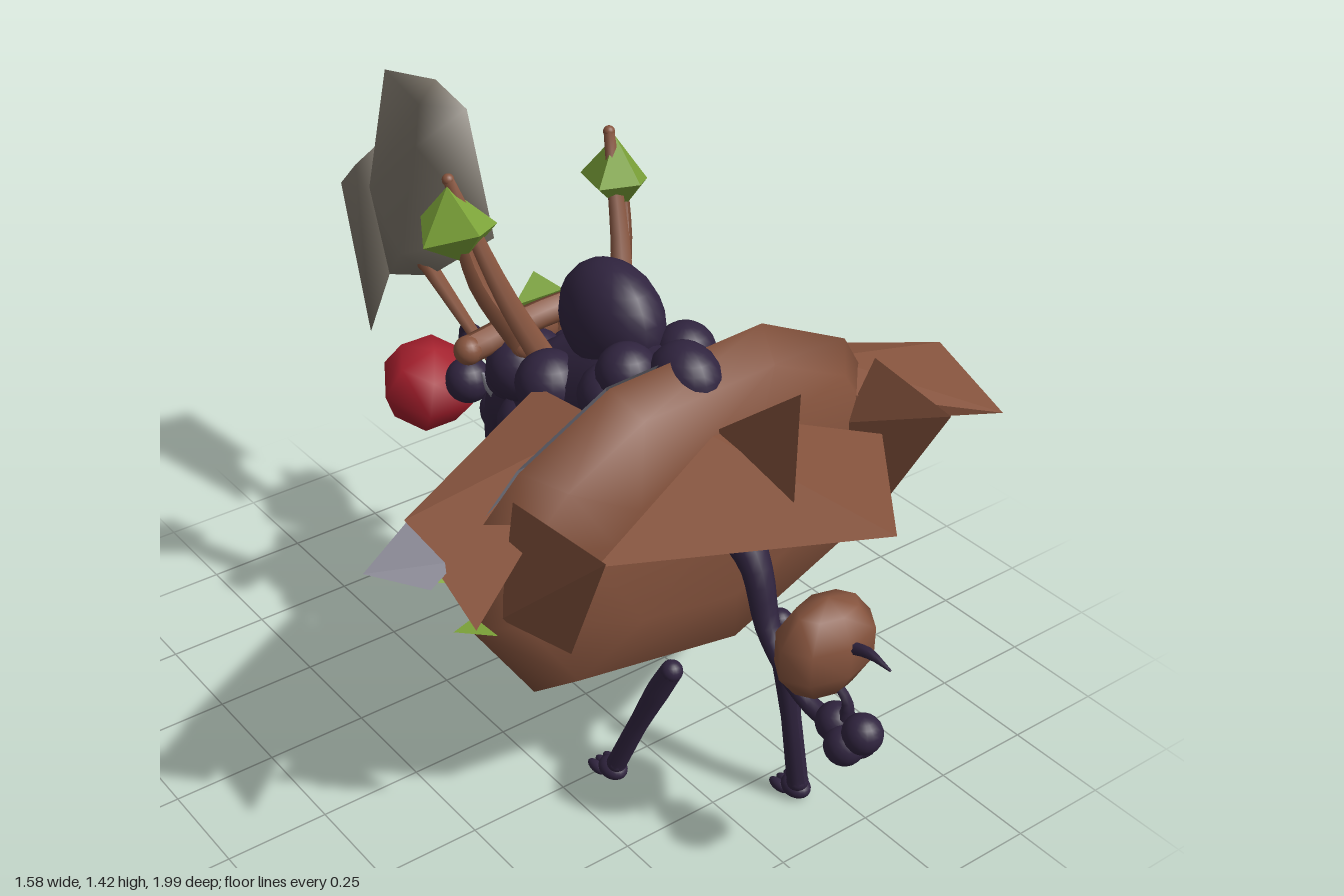
import * as THREE from 'three';
import { ConvexGeometry } from 'three/addons/geometries/ConvexGeometry.js';
import { mergeVertices } from 'three/addons/utils/BufferGeometryUtils.js';

const mat = (name, color, flat = false) => {
  const m = new THREE.MeshStandardMaterial({ color, side: THREE.DoubleSide, flatShading: flat });
  m.name = name;
  return m;
};
const V = (p) => new THREE.Vector3(p[0], p[1], p[2]);

export function createModel() {
  const model = new THREE.Group();
  const hide = mat('dark hide', 0x30243f);
  const bark = mat('bark brown', 0x85533d);
  const leaf = mat('leaf green', 0x7ba238, true);
  const berry = mat('berry red', 0xa51e2c);
  const stone = mat('crest grey', 0x7c756a);
  const pale = mat('pale grey', 0x84838f);

  const add = (name, geo, m) => {
    const mesh = new THREE.Mesh(geo, m);
    mesh.name = name;
    model.add(mesh);
    return mesh;
  };
  const ball = (name, x, y, z, rx, ry = rx, rz = rx, m = hide) => {
    const b = add(name, new THREE.SphereGeometry(1, 18, 12), m);
    b.position.set(x, y, z);
    b.scale.set(rx, ry, rz);
    return b;
  };
  const hull = (name, pts, m) => add(name, new ConvexGeometry(pts.map(V)), m);
  const smoothHull = (name, pts, m) => {
    const g = new ConvexGeometry(pts.map(V));
    g.deleteAttribute('normal');
    const merged = mergeVertices(g);
    merged.computeVertexNormals();
    return add(name, merged, m);
  };
  const plate = (name, pts, m) => {
    const g = new THREE.BufferGeometry().setFromPoints(pts.map(V));
    g.computeVertexNormals();
    return add(name, g, m);
  };

  // Tapered tube through points of [x, y, z, radius]
  const limb = (name, pts, m = hide, sides = 10, steps = 20) => {
    const curve = new THREE.CatmullRomCurve3(pts.map(V));
    const geo = new THREE.TubeGeometry(curve, steps, 1, sides);
    const pos = geo.attributes.position, row = sides + 1, v = new THREE.Vector3();
    for (let i = 0; i <= steps; i++) {
      const u = i / steps, c = curve.getPointAt(u);
      const f = curve.getUtoTmapping(u) * (pts.length - 1);
      const k = Math.min(Math.floor(f), pts.length - 2);
      const r = THREE.MathUtils.lerp(pts[k][3], pts[k + 1][3], f - k);
      for (let j = 0; j < row; j++) {
        v.fromBufferAttribute(pos, i * row + j).sub(c).multiplyScalar(r).add(c);
        pos.setXYZ(i * row + j, v.x, v.y, v.z);
      }
    }
    geo.computeVertexNormals();
    for (const p of [pts[0], pts[pts.length - 1]]) ball(name + 'End', p[0], p[1], p[2], p[3], p[3], p[3], m);
    return add(name, geo, m);
  };

  // Lens-shaped bark shell: scaled copies of one outline, front to back
  const outline = [[-0.19, 1.11], [0.22, 1.13], [0.47, 1.01], [0.63, 0.75], [0.5, 0.48],
    [0.13, 0.32], [-0.39, 0.41], [-0.55, 0.65], [-0.55, 0.86], [-0.42, 0.99]];
  const rings = [[0, 0.47], [0.5, 0.46], [0.85, 0.42], [1, 0.34], [0.8, 0.28], [0.47, 0.21], [0.2, 0.07], [0, 0.04]];
  const onShell = ([x, y], t, z) => [0.03 + (x - 0.03) * t, 0.76 + (y - 0.76) * t, z];
  const pos = [], idx = [], n = outline.length;
  rings.forEach(([t, z], r) => outline.forEach((p, i) => {
    pos.push(...onShell(p, t, z));
    if (r === 0) return;
    const j = (i + 1) % n, a = (r - 1) * n, b = r * n;
    if (r > 1) idx.push(a + i, a + j, b + j);
    if (r < rings.length - 1) idx.push(a + i, b + j, b + i);
  }));
  const shell = new THREE.BufferGeometry();
  shell.setAttribute('position', new THREE.Float32BufferAttribute(pos, 3));
  shell.setIndex(idx);
  shell.computeVertexNormals();
  add('barkShell', shell, bark);

  // Pale worn streak along the upper left back edge of the shell
  const streak = [[-0.05, 1.117], [-0.19, 1.11], [-0.42, 0.99], [-0.54, 0.87]];
  for (let i = 0; i < 3; i++) {
    const [a, b] = [streak[i], streak[i + 1]];
    const q = [onShell(a, 0.985, 0.325), onShell(b, 0.985, 0.325), onShell(b, 0.89, 0.296), onShell(a, 0.89, 0.296)];
    plate('shellStreak', [q[0], q[1], q[2], q[0], q[2], q[3]], pale);
  }
  ball('shellWart', -0.2, 0.63, 0.16, 0.025, 0.045, 0.035);

  // Bark spikes around the shell
  hull('rightWing', [[0.17, 0.95, 0.02], [0.35, 0.9, 0.08], [0.79, 0.89, 0.33], [0.74, 0.84, 0.59],
    [0.45, 0.84, 0.42], [0.45, 0.95, 0.3], [0.15, 0.98, 0.26]], bark);
  hull('leftWing', [[-0.15, 0.95, 0.02], [-0.35, 0.92, 0.12], [-0.63, 0.9, 0.23], [-0.67, 0.83, 0.55],
    [-0.45, 0.84, 0.38], [-0.6, 0.87, 0.4], [-0.15, 0.98, 0.26]], bark);
  hull('leftWingTip', [[-0.6, 0.9, 0.22], [-0.79, 0.89, 0.33], [-0.69, 0.86, 0.42], [-0.6, 0.87, 0.38]], pale);
  hull('frontPlate', [[-0.4, 0.885, 0.58], [0.41, 0.88, 0.54], [0.13, 0.91, 0.88],
    [0.0, 0.98, 0.45], [0.15, 0.965, 0.45], [0.05, 0.87, 0.44]], bark);
  plate('centreFin', [[0.02, 1.19, 0.69], [0.02, 0.9, 0.69], [0.02, 0.95, 0.4]], bark);
  for (const s of [-1, 1]) {
    hull('sideFin', [[s * 0.46, 0.98, 0.69], [s * 0.42, 0.64, 0.52], [s * 0.5, 0.68, 0.38],
      [s * 0.49, 0.99, 0.42], [s * 0.41, 0.85, 0.42]], bark);
    plate('shellLeaf', [[s * 0.53, 0.67, 0.18], [s * 0.43, 0.64, 0.2], [s * 0.47, 0.7, 0.1]], leaf);
  }
  plate('rightRimLeaf', [[0.57, 0.72, 0.4], [0.56, 0.66, 0.39], [0.53, 0.7, 0.43]], leaf);
  plate('leftRimLeaf', [[-0.54, 0.68, 0.34], [-0.61, 0.69, 0.37], [-0.54, 0.685, 0.43]], leaf);

  // Body, neck and snout
  limb('body', [[0.02, 1.02, 0.34, 0.08], [0.02, 0.95, 0.17, 0.13], [0.02, 0.84, -0.03, 0.16],
    [0.02, 0.77, -0.18, 0.12], [0.02, 0.68, -0.32, 0.075], [0.02, 0.53, -0.4, 0.03]], hide, 16, 32);
  ball('hump', 0.02, 1.09, 0.07, 0.1, 0.135, 0.15);
  ball('rearHump', 0.02, 1.06, 0.33, 0.075, 0.08, 0.09);
  ball('rump', 0.02, 0.98, 0.38, 0.045);
  ball('brow', 0.02, 0.85, -0.24, 0.08, 0.07, 0.07);
  ball('snout', 0.02, 0.64, -0.375, 0.055, 0.06, 0.055);
  for (const s of [-1, 1]) {
    for (const [x, y, z, r] of [[0.1, 0.99, 0.2, 0.075], [0.12, 0.93, 0.0, 0.08], [0.11, 0.91, -0.13, 0.08],
      [0.09, 0.85, -0.2, 0.06], [0.11, 0.83, 0.05, 0.08], [0.08, 1.05, 0.23, 0.07], [0.09, 0.76, -0.12, 0.08]]) {
      ball('flankKnob', 0.02 + s * x, y, z, r);
    }
    // Face: ringed eyes and tusks
    const ex = 0.02 + s * 0.055;
    ball('eye', ex, 0.9, -0.265, 0.036, 0.045, 0.025, bark);
    const ring = add('eyeRing', new THREE.TorusGeometry(0.042, 0.01, 6, 14), bark);
    ring.position.set(ex, 0.9, -0.275);
    ring.rotation.y = Math.PI - s * 0.5;
    limb('tusk', [[ex, 0.79, -0.27, 0.026], [ex + s * 0.015, 0.755, -0.3, 0.022], [ex + s * 0.02, 0.78, -0.34, 0.005]], pale, 6, 6);
    // Forked antlers with leaf tufts
    const ax = 0.03;
    limb('antler', [[ax + s * 0.1, 0.94, -0.04, 0.035], [ax + s * 0.16, 1.1, -0.12, 0.027], [ax + s * 0.22, 1.36, -0.25, 0.014]], bark, 6, 8);
    limb('antlerProng', [[ax + s * 0.13, 0.98, -0.1, 0.03], [ax + s * 0.2, 1.13, -0.17, 0.024], [ax + s * 0.23, 1.3, -0.22, 0.012]], bark, 6, 8);
    hull('antlerLeaf', [[ax + s * 0.23, 1.35, -0.24], [ax + s * 0.14, 1.26, -0.18], [ax + s * 0.31, 1.23, -0.22],
      [ax + s * 0.22, 1.18, -0.2], [ax + s * 0.22, 1.27, -0.13], [ax + s * 0.19, 1.24, -0.32], [ax + s * 0.27, 1.27, -0.29]], leaf);
  }
  limb('headLog', [[-0.21, 0.98, -0.16, 0.034], [0.02, 0.99, -0.19, 0.034], [0.24, 1.0, -0.17, 0.034]], bark, 7, 10);
  hull('foreheadLeaf', [[0.02, 1.08, -0.23], [0.09, 1.02, -0.21], [-0.05, 1.02, -0.21], [0.05, 0.96, -0.245],
    [-0.01, 0.96, -0.245], [0.02, 1.01, -0.26]], leaf);

  // Legs
  limb('hindLeg', [[0.125, 0.505, 0.555, 0.03], [0.135, 0.42, 0.565, 0.033], [0.145, 0.25, 0.59, 0.024], [0.17, 0.05, 0.6, 0.026]]);
  limb('hindLeg', [[-0.09, 0.395, 0.445, 0.026], [-0.1, 0.32, 0.41, 0.028], [-0.115, 0.2, 0.36, 0.023], [-0.13, 0.05, 0.3, 0.024]]);
  limb('foreLeg', [[0.1, 0.78, -0.02, 0.07], [0.13, 0.56, -0.02, 0.037], [0.15, 0.3, -0.01, 0.025], [0.17, 0.05, -0.03, 0.026]]);
  limb('raisedForeLeg', [[-0.06, 0.76, -0.04, 0.07], [-0.07, 0.52, -0.0, 0.037], [-0.07, 0.4, -0.07, 0.03],
    [-0.07, 0.25, -0.19, 0.021], [-0.07, 0.19, -0.215, 0.026]]);
  for (const [x, z] of [[0.175, 0.59], [-0.13, 0.285], [0.175, -0.05]]) {
    ball('foot', x, 0.025, z, 0.032, 0.025, 0.04);
    for (const t of [-1, 0, 1]) ball('toe', x + t * 0.022, 0.014, z - 0.035, 0.013, 0.014, 0.03);
  }
  for (const t of [-1, 0, 1]) {
    limb('finger', [[-0.07 + t * 0.015, 0.2, -0.22, 0.013], [-0.07 + t * 0.025, 0.15, -0.235, 0.012],
      [-0.065 + t * 0.027, 0.12, -0.22, 0.01]], hide, 6, 6);
  }

  // Tail with knotted end, seed pod and thorn
  limb('tail', [[0.02, 0.86, 0.42, 0.07], [0.02, 0.72, 0.58, 0.035], [0.02, 0.57, 0.64, 0.027],
    [0.02, 0.47, 0.76, 0.02], [0.03, 0.45, 0.88, 0.024]]);
  for (const [x, y, z, r] of [[0.03, 0.46, 0.85, 0.045], [0.05, 0.44, 0.9, 0.045], [0.01, 0.44, 0.9, 0.045],
    [0.03, 0.48, 0.93, 0.045]]) ball('tailKnot', x, y, z, r);
  limb('podStem', [[0.03, 0.46, 0.87, 0.02], [0.03, 0.53, 0.88, 0.013], [0.02, 0.58, 0.83, 0.01]], hide, 6, 8);
  const pod = add('seedPod', new THREE.SphereGeometry(1, 8, 5), bark);
  pod.position.set(0.02, 0.645, 0.81);
  pod.scale.set(0.13, 0.12, 0.085);
  limb('thorn', [[0.03, 0.67, 0.87, 0.014], [0.03, 0.69, 0.93, 0.012], [0.03, 0.685, 0.99, 0.003]], hide, 6, 6);

  // Lure: curved stalk, bulb and berry
  limb('lureStalk', [[0.03, 0.72, -0.38, 0.012], [0.04, 0.79, -0.48, 0.01], [0.05, 0.77, -0.58, 0.01], [0.06, 0.64, -0.6, 0.013]], hide, 8, 16);
  ball('lureBulb', 0.06, 0.61, -0.585, 0.06);
  const fruit = add('berry', new THREE.SphereGeometry(1, 6, 4), berry);
  fruit.position.set(0.015, 0.56, -0.705);
  fruit.scale.set(0.13, 0.12, 0.13);
  fruit.rotation.x = 0.3;

  // Grey crest blade carried on a stick
  limb('crestStick', [[0.02, 0.73, -0.36, 0.012], [0.02, 0.82, -0.53, 0.018], [0.02, 0.91, -0.7, 0.024]], bark, 6, 6);
  const edge = [[1.1, -0.39], [1.39, -0.49], [1.42, -0.62], [1.37, -0.85], [1.13, -0.89], [0.8, -0.88], [0.88, -0.68]]
    .map(([y, z]) => [0.02, y, z]);
  const sides = [-1, 1].flatMap((s) => [[1.35, -0.66, 0.025], [1.25, -0.65, 0.045], [1.08, -0.84, 0.068], [0.93, -0.74, 0.05]]
    .map(([y, z, w]) => [0.02 + s * w, y, z]));
  smoothHull('crestBlade', [...edge, ...sides], stone);
  smoothHull('crestHook', [[0.02, 1.2, -0.85], [-0.06, 1.13, -0.88], [0.1, 1.13, -0.88], [-0.06, 1.05, -0.96], [0.1, 1.05, -0.96],
    [0.02, 1.02, -0.995], [0.02, 0.58, -0.995], [0.02, 0.82, -0.87], [-0.02, 0.8, -0.97], [0.06, 0.8, -0.97]], stone);
  return model;
}
